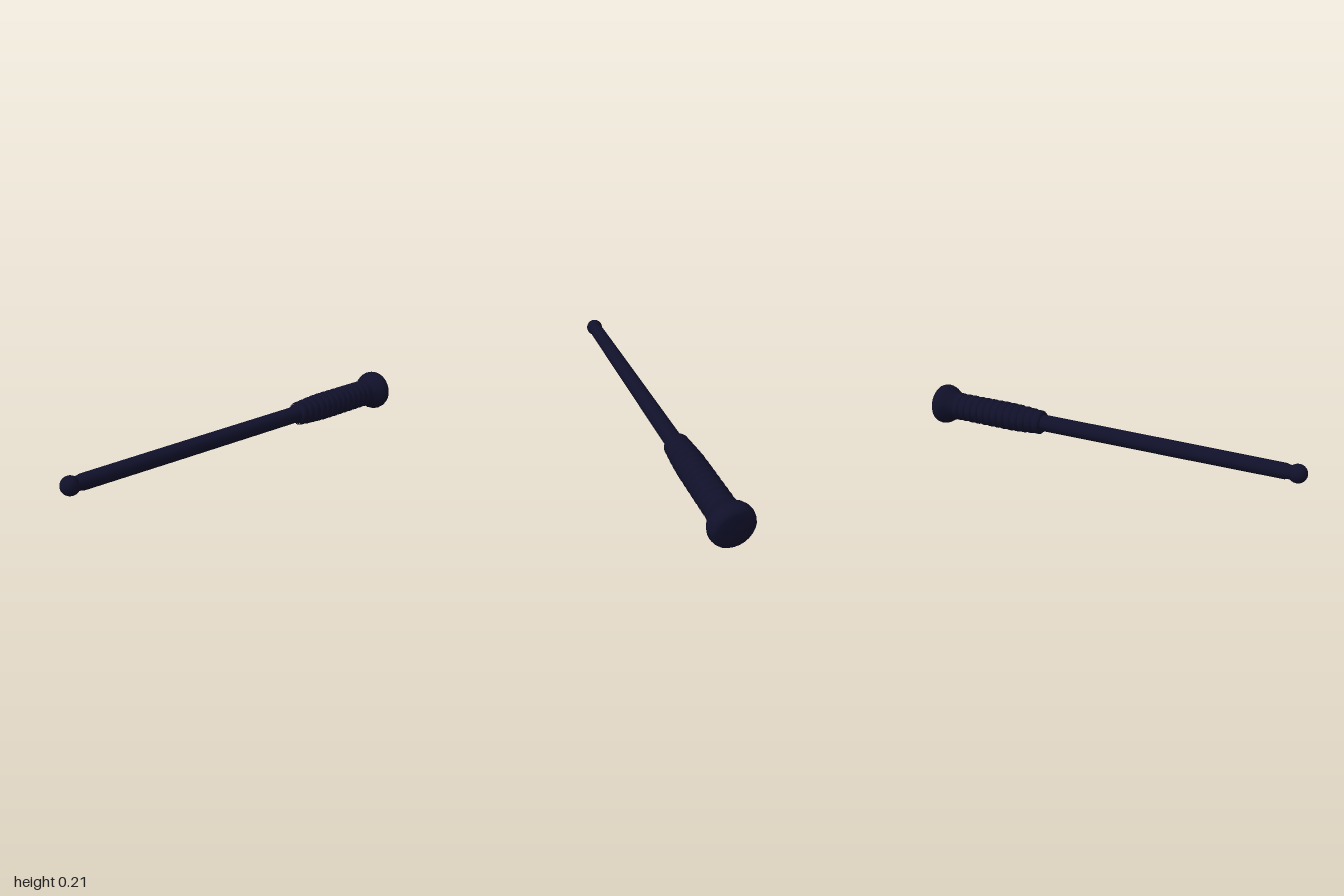
import * as THREE from 'three';

const AXIS_Y = 0.108;
const SIDES = 24;

export function createModel() {
  const model = new THREE.Group();
  model.name = 'baton';
  const navy = new THREE.MeshStandardMaterial({ color: 0x10102a });
  navy.name = 'dark navy rubber';

  // Turned part along x: points are [x, radius], from -x to +x
  function turned(name, points) {
    const profile = points.map(([x, r]) => new THREE.Vector2(r, x));
    const mesh = new THREE.Mesh(new THREE.LatheGeometry(profile, SIDES), navy);
    mesh.name = name;
    mesh.rotation.z = -Math.PI / 2;
    mesh.position.y = AXIS_Y;
    model.add(mesh);
  }

  // Ball at the far end
  const tip = new THREE.Mesh(new THREE.SphereGeometry(0.045, SIDES, 16), navy);
  tip.name = 'tipBall';
  tip.position.set(-0.955, AXIS_Y, 0);
  model.add(tip);

  // Slightly tapering shaft with a chamfered end
  turned('shaft', [[-0.94, 0.033], [-0.915, 0.034], [-0.9, 0.038], [-0.4, 0.0405], [0.38, 0.043]]);

  // Grip core, with the ridges sitting on it
  turned('gripCore', [[0.357, 0], [0.357, 0.054], [0.4, 0.06], [0.52, 0.067], [0.88, 0.067]]);

  // Rounded grip ridges, growing towards the middle of the grip
  const pitch = 0.04;
  for (let i = 0; i < 13; i++) {
    const x = 0.378 + i * pitch;
    const r = 0.073 - 0.011 * Math.max(0, 1 - i / 4.5) ** 1.5;
    turned('gripRidge', [
      [x - 0.02, r - 0.007], [x - 0.015, r - 0.002], [x - 0.007, r],
      [x + 0.007, r], [x + 0.015, r - 0.002], [x + 0.02, r - 0.007],
    ]);
  }

  // Flared pommel with a rounded rim and nearly flat end
  turned('pommel', [
    [0.86, 0.067], [0.88, 0.073], [0.9, 0.083], [0.92, 0.096], [0.937, 0.103],
    [0.952, 0.106], [0.968, 0.104], [0.981, 0.099], [0.99, 0.09],
    [0.995, 0.078], [0.998, 0.055], [1, 0],
  ]);
  return model;
}
